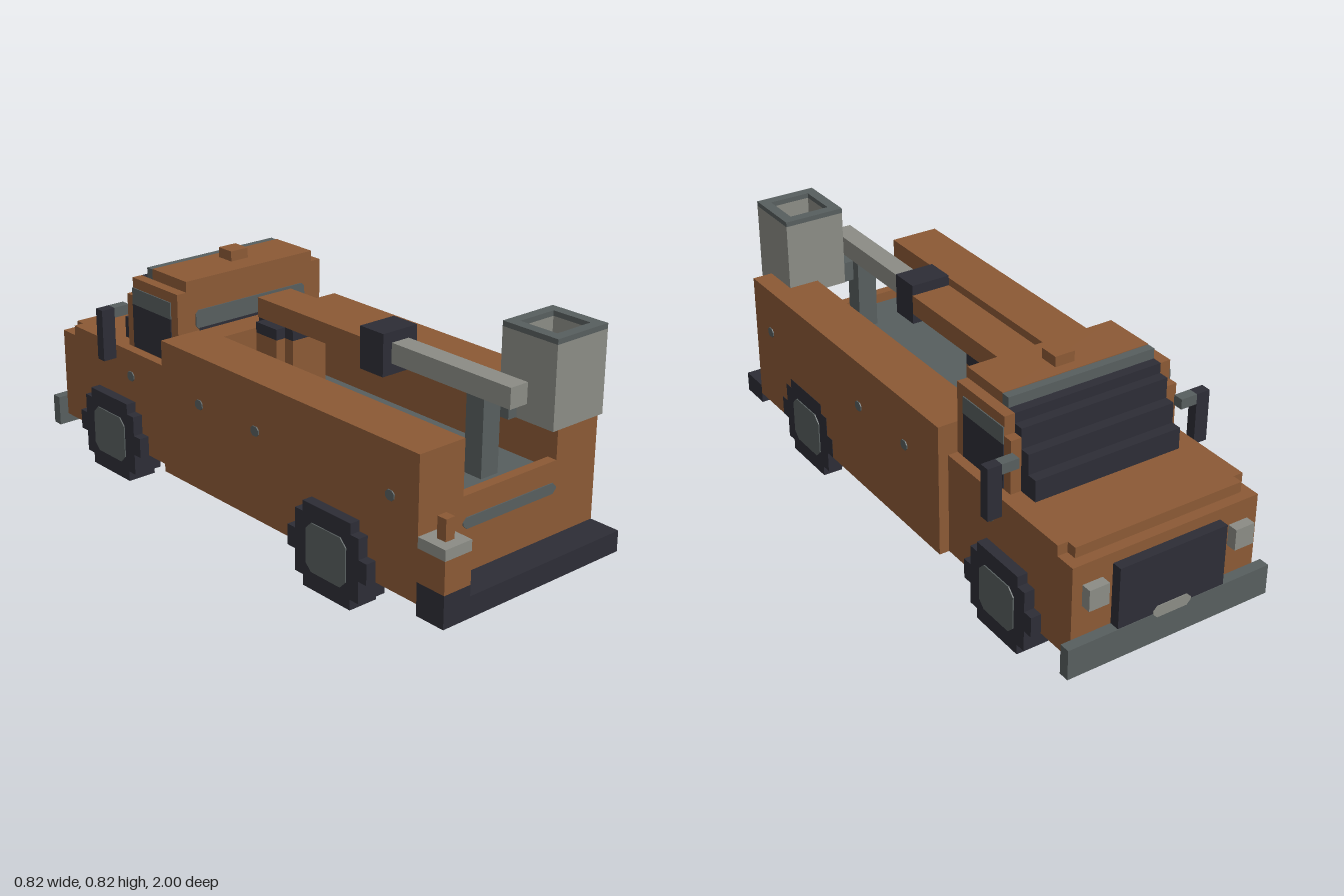
import * as THREE from 'three';

const mat = (name, color) => {
  const m = new THREE.MeshStandardMaterial({ color });
  m.name = name;
  return m;
};

export function createModel() {
  const orange = mat('rust orange paint', 0x8b5935);
  const dark = mat('dark rubber and glass', 0x2d2d36);
  const steel = mat('dark grey steel', 0x575e5e);
  const light = mat('light grey', 0x8b8c85);
  const root = new THREE.Group();
  root.name = 'bucketTruck';

  const group = (name) => {
    const g = new THREE.Group();
    g.name = name;
    root.add(g);
    return g;
  };
  // Box given by its limits on each axis
  const box = (parent, name, m, x0, x1, y0, y1, z0, z1) => {
    const b = new THREE.Mesh(new THREE.BoxGeometry(x1 - x0, y1 - y0, z1 - z0), m);
    b.position.set((x0 + x1) / 2, (y0 + y1) / 2, (z0 + z1) / 2);
    b.name = name;
    parent.add(b);
    return b;
  };
  // Same box on both sides of x = 0
  const pair = (parent, name, m, x0, x1, ...rest) => {
    box(parent, name + 'Left', m, x0, x1, ...rest);
    box(parent, name + 'Right', m, -x1, -x0, ...rest);
  };
  // Flat plate with cut corners, extruded along z
  const plate = (w, h, c, depth) => {
    const s = new THREE.Shape();
    [[w - c, -h], [w, c - h], [w, h - c], [w - c, h], [c - w, h], [-w, h - c], [-w, c - h], [c - w, -h]]
      .forEach(([x, y], i) => (i ? s.lineTo(x, y) : s.moveTo(x, y)));
    return new THREE.ExtrudeGeometry(s, { depth, bevelEnabled: false });
  };
  const addPlate = (parent, name, m, geo, x, y, z, turn = 0) => {
    const p = new THREE.Mesh(geo, m);
    p.position.set(x, y, z);
    p.rotation.y = turn;
    p.name = name;
    parent.add(p);
  };

  // Load bed with an open channel
  const bed = group('bed');
  box(bed, 'bedBase', orange, -0.375, 0.375, 0.11, 0.35, -0.32, 0.89);
  pair(bed, 'bedWall', orange, 0.197, 0.375, 0.35, 0.575, -0.32, 0.89);
  box(bed, 'bedFrontWall', orange, -0.197, 0.197, 0.35, 0.575, -0.32, -0.215);
  box(bed, 'bedSill', orange, -0.197, 0.197, 0.35, 0.393, 0.855, 0.89);
  box(bed, 'bedFloor', steel, -0.197, 0.197, 0.35, 0.358, -0.215, 0.855);
  addPlate(bed, 'tailStrip', steel, plate(0.197, 0.018, 0.014, 0.004), 0, 0.305, 0.89);

  // Tail bumper and corner post
  const tail = group('tailBumper');
  box(tail, 'tailBumperBar', dark, -0.375, 0.375, 0.072, 0.143, 0.89, 1);
  box(tail, 'cornerFoot', dark, -0.375, -0.27, 0.143, 0.18, 0.89, 1);
  box(tail, 'cornerBlock', orange, -0.375, -0.27, 0.18, 0.287, 0.89, 1);
  box(tail, 'cornerCap', light, -0.375, -0.27, 0.287, 0.323, 0.89, 1);
  box(tail, 'cornerPeg', orange, -0.34, -0.305, 0.323, 0.393, 0.93, 0.965);

  // Cab body and hood
  const cab = group('cab');
  box(cab, 'cabBase', orange, -0.34, 0.34, 0.11, 0.43, -0.963, -0.32);
  box(cab, 'hood', orange, -0.34, 0.34, 0.43, 0.466, -0.89, -0.32);
  box(cab, 'hoodLip', orange, -0.305, 0.305, 0.43, 0.466, -0.926, -0.89);
  box(cab, 'cabLower', orange, -0.305, 0.305, 0.466, 0.65, -0.5, -0.32);
  box(cab, 'cabUpper', orange, -0.305, 0.305, 0.65, 0.715, -0.5, -0.32);
  pair(cab, 'pillar', orange, 0.268, 0.305, 0.466, 0.65, -0.605, -0.5);
  pair(cab, 'pillarTop', orange, 0.268, 0.305, 0.65, 0.715, -0.57, -0.5);
  box(cab, 'roof', orange, -0.268, 0.268, 0.715, 0.752, -0.506, -0.32);
  box(cab, 'roofKnob', orange, -0.018, 0.053, 0.752, 0.787, -0.468, -0.4);

  // Stepped windscreen
  [[0.466, 0.54, -0.678], [0.54, 0.61, -0.641], [0.61, 0.68, -0.605], [0.68, 0.715, -0.57]]
    .forEach(([y0, y1, z]) => box(cab, 'windscreenStep', dark, -0.268, 0.268, y0, y1, z, -0.5));
  box(cab, 'windscreenTop', steel, -0.268, 0.268, 0.715, 0.75, -0.536, -0.506);

  // Side and rear windows, mirrors
  pair(cab, 'sideWindow', dark, 0.304, 0.309, 0.47, 0.622, -0.57, -0.356);
  pair(cab, 'sideWindowTop', steel, 0.304, 0.309, 0.622, 0.68, -0.57, -0.356);
  addPlate(cab, 'rearWindow', steel, plate(0.233, 0.033, 0.012, 0.004), 0, 0.613, -0.32);
  box(cab, 'rearWindowEdge', dark, -0.22, 0.22, 0.575, 0.584, -0.318, -0.315);
  pair(cab, 'mirrorArm', steel, 0.3, 0.36, 0.575, 0.61, -0.641, -0.605);
  pair(cab, 'mirror', dark, 0.36, 0.41, 0.43, 0.61, -0.641, -0.605);

  // Grille, headlights and nose bumper
  const nose = group('nose');
  box(nose, 'grille', dark, -0.197, 0.197, 0.18, 0.393, -0.998, -0.963);
  pair(nose, 'headlight', light, 0.233, 0.304, 0.287, 0.36, -0.998, -0.963);
  box(nose, 'noseBumper', steel, -0.375, 0.375, 0.075, 0.18, -1, -0.963);
  addPlate(nose, 'badgePlate', light, plate(0.07, 0.02, 0.015, 0.003), 0, 0.185, -0.999, Math.PI);

  // Wheels made of stacked slabs with a cut-corner hub
  const hub = plate(0.09, 0.082, 0.025, 0.004);
  const wheel = (name, side, inner, outer, z) => {
    const w = group(name);
    const [x0, x1] = side > 0 ? [inner, outer] : [-outer, -inner];
    [[0, 0.285, 0.107], [0.036, 0.249, 0.143], [0.11, 0.18, 0.178]]
      .forEach(([y0, y1, r]) => box(w, 'tyreSlab', dark, x0, x1, y0, y1, z - r, z + r));
    addPlate(w, 'hub', steel, hub, side * outer, 0.143, z, side * Math.PI / 2);
    addPlate(w, 'hubInside', steel, hub, side * inner, 0.143, z, -side * Math.PI / 2);
  };
  wheel('bedWheelLeft', 1, 0.305, 0.376, 0.54);
  wheel('bedWheelRight', -1, 0.305, 0.411, 0.54);
  wheel('cabWheelLeft', 1, 0.27, 0.376, -0.64);
  wheel('cabWheelRight', -1, 0.27, 0.376, -0.64);

  // Small round side fittings and door handles
  const dot = plate(0.018, 0.016, 0.009, 0.004);
  for (const side of [1, -1]) {
    const turn = side * Math.PI / 2;
    for (const z of [0.775, 0.165, -0.12]) addPlate(bed, 'sideFitting', steel, dot, side * 0.375, 0.412, z, turn);
    addPlate(cab, 'doorHandle', steel, dot, side * 0.34, 0.375, -0.55, turn);
  }

  // Boom, elbow and support
  const boom = group('boom');
  box(boom, 'pedestal', orange, -0.054, 0.088, 0.358, 0.575, -0.215, -0.036);
  box(boom, 'pedestalSide', orange, -0.09, -0.054, 0.358, 0.575, -0.18, -0.075);
  box(boom, 'pivot', dark, -0.054, 0.088, 0.575, 0.612, -0.21, -0.036);
  box(boom, 'pivotSide', dark, -0.09, -0.054, 0.575, 0.612, -0.18, -0.075);
  box(boom, 'lowerBoom', orange, -0.054, 0.088, 0.612, 0.68, -0.215, 0.288);
  box(boom, 'elbow', dark, -0.054, 0.088, 0.575, 0.716, 0.288, 0.393);
  box(boom, 'upperBoom', light, -0.018, 0.053, 0.612, 0.68, 0.393, 0.89);
  box(boom, 'boomRest', steel, -0.018, 0.053, 0.358, 0.612, 0.716, 0.787);
  box(boom, 'bucketBracket', steel, 0.053, 0.088, 0.54, 0.612, 0.75, 0.82);

  // Hollow bucket with a darker rim
  const bucket = group('bucket');
  const ring = (name, m, y0, y1) => {
    box(bucket, name, m, 0.088, 0.124, y0, y1, 0.75, 0.965);
    box(bucket, name, m, 0.268, 0.304, y0, y1, 0.75, 0.965);
    box(bucket, name, m, 0.124, 0.268, y0, y1, 0.75, 0.786);
    box(bucket, name, m, 0.124, 0.268, y0, y1, 0.929, 0.965);
  };
  ring('bucketWall', light, 0.538, 0.806);
  ring('bucketRim', steel, 0.806, 0.823);
  box(bucket, 'bucketBase', light, 0.124, 0.268, 0.538, 0.566, 0.786, 0.929);
  box(bucket, 'bucketMat', dark, 0.124, 0.268, 0.566, 0.573, 0.786, 0.929);

  return root;
}
